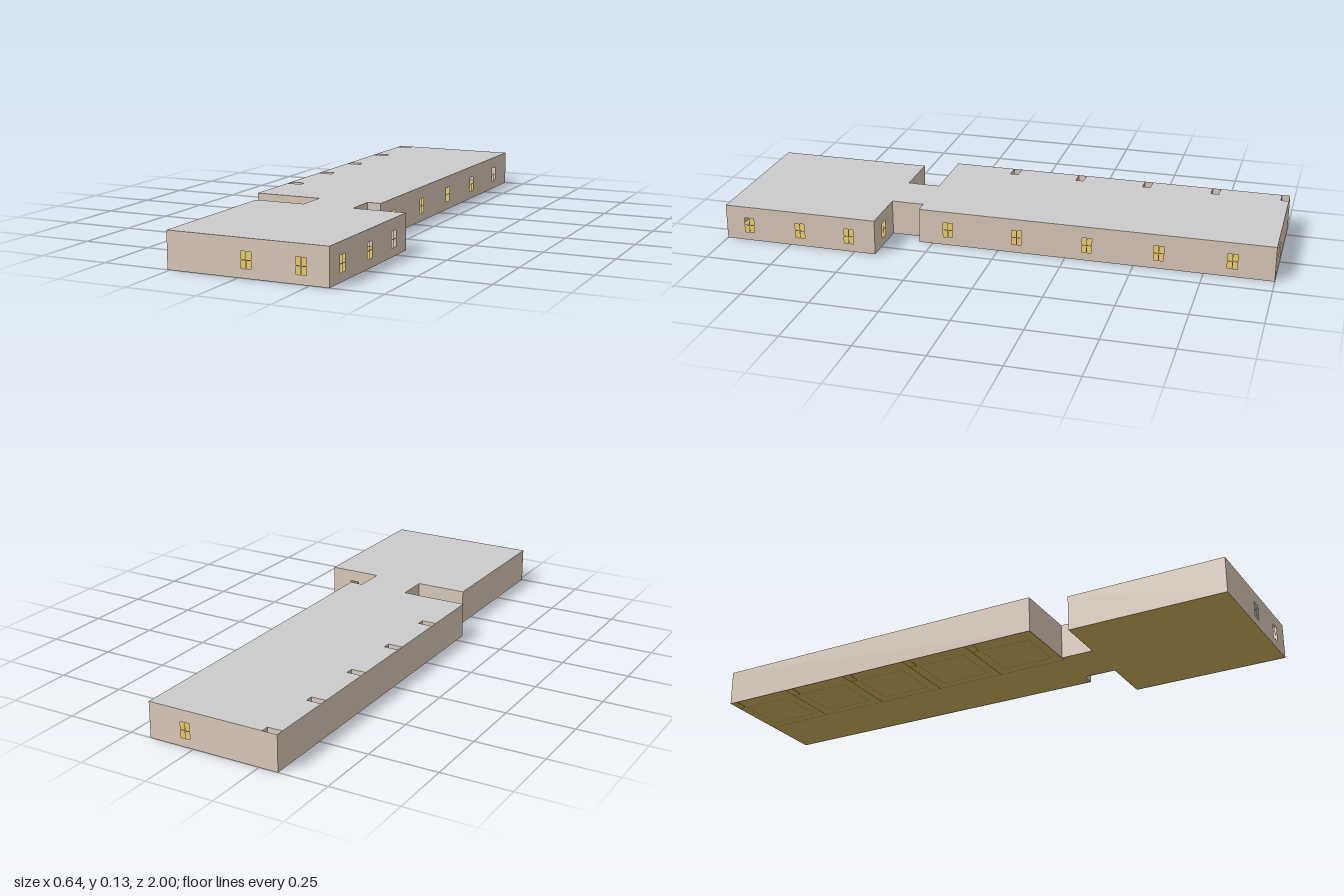
import * as THREE from 'three';

const H = 0.13;                                   // wall height
const CELLS = 5, PITCH = 0.26;                    // rooms along the right-hand side
const SHAFT_W = 0.055, SHAFT_D = 0.03;

const mat = (color) => new THREE.MeshStandardMaterial({ color, side: THREE.DoubleSide });

// Plan corners as [x, z, window centres measured along the wall that starts here]
const PLAN = [
  [-0.32, -1, [0.35]],
  [0.17, -1, [0.15, 0.41, 0.67, 0.93, 1.19]],
  [0.17, 0.3, []],
  [0.12, 0.3, []],
  [0.12, 0.42, [0.102]],
  [0.318, 0.42, [0.1, 0.29, 0.49]],
  [0.318, 1, [0.097, 0.29]],
  [-0.26, 1, []],
  [-0.26, 0.42, []],
  [-0.07, 0.42, []],
  [-0.07, 0.3, []],
  [-0.32, 0.3, []],
];

const shapeOf = (pts) => new THREE.Shape(pts.map(([x, y]) => new THREE.Vector2(x, y)));
const rect = (x0, y0, x1, y1) => [[x0, y0], [x1, y0], [x1, y1], [x0, y1]];

// Horizontal sheet from an x/z outline
function sheet(name, shape, y, material) {
  const mesh = new THREE.Mesh(new THREE.ShapeGeometry(shape).rotateX(Math.PI / 2), material);
  mesh.position.y = y;
  mesh.name = name;
  return mesh;
}

// Upright wall between two plan points, with four panes cut out per window
function wall(name, [x0, z0], [x1, z1], windows, material) {
  const shape = shapeOf(rect(0, 0, Math.hypot(x1 - x0, z1 - z0), H));
  const bar = 0.0015, halfW = 0.018, y0 = 0.031, y1 = 0.087, mid = 0.059;
  for (const c of windows) {
    for (const [a, b] of [[c - halfW, c - bar], [c + bar, c + halfW]]) {
      for (const [lo, hi] of [[y0, mid - bar], [mid + bar, y1]]) {
        shape.holes.push(shapeOf(rect(a, lo, b, hi)));
      }
    }
  }
  const mesh = new THREE.Mesh(new THREE.ShapeGeometry(shape), material);
  mesh.position.set(x0, 0, z0);
  mesh.rotation.y = Math.atan2(z0 - z1, x1 - x0);
  mesh.name = name;
  return mesh;
}

// Thin rectangular outline lying flat
function frame(name, x0, z0, x1, z1, t, material) {
  const shape = shapeOf(rect(x0, z0, x1, z1));
  shape.holes.push(shapeOf(rect(x0 + t, z0 + t, x1 - t, z1 - t)));
  return sheet(name, shape, 0, material);
}

export function createModel() {
  const group = new THREE.Group();
  group.name = 'building';
  const wallMat = mat(0xd9c8b8), roofMat = mat(0xcccccc), floorMat = mat(0xcfb45c);
  const redMat = mat(0x9a4a32), greenMat = mat(0x5f8a3c);

  // Outer walls
  PLAN.forEach((p, i) => {
    group.add(wall('outerWall', p, PLAN[(i + 1) % PLAN.length], p[2], wallMat));
  });

  // Floor
  group.add(sheet('floor', shapeOf(PLAN), 0.001, floorMat));

  // Roof, notched along the -x edge above each shaft
  const left = -0.32, inner = left + SHAFT_W;
  const roofPts = PLAN.slice(1).map(([x, z]) => [x, z]);
  for (let i = CELLS - 1; i >= 0; i--) {
    const z = -1 + i * PITCH;
    roofPts.push([left, z + SHAFT_D], [inner, z + SHAFT_D], [inner, z]);
    if (i > 0) roofPts.push([left, z]);
  }
  group.add(sheet('roof', shapeOf(roofPts), H, roofMat));

  for (let i = 0; i < CELLS; i++) {
    const z = -1 + i * PITCH, zf = z + SHAFT_D;
    // Open light shaft down to the floor
    group.add(wall('shaftWall', [left, zf], [inner, zf], [], wallMat));
    group.add(wall('shaftWall', [inner, zf], [inner, z], [], wallMat));
    if (i > 0) group.add(wall('shaftWall', [inner, z], [left, z], [], wallMat));
    // Room outlines on the underside of the floor
    group.add(frame('roomOutline', left, z, -0.05, z + PITCH, 0.002, redMat));
    group.add(frame('roomInnerOutline', left + 0.06, z + 0.035, -0.085, z + PITCH - 0.035, 0.002, greenMat));
  }
  return group;
}
